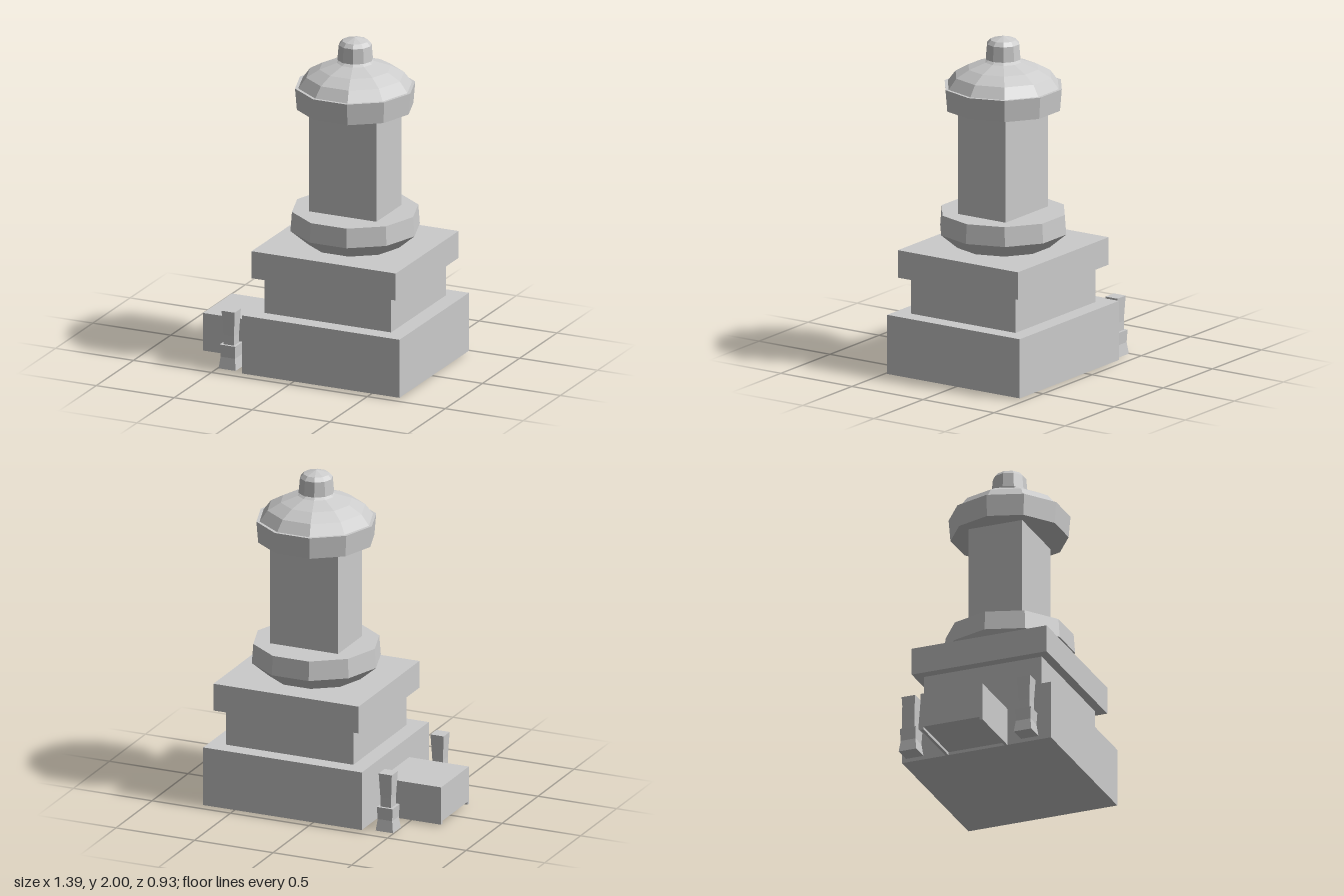
import * as THREE from 'three';

const material = new THREE.MeshStandardMaterial({ color: 0xcccccc, flatShading: true });
const AXIS_X = 0.183; // vertical axis of the tower

export function createModel() {
  const model = new THREE.Group();

  const add = (name, geometry) => {
    const mesh = new THREE.Mesh(geometry, material);
    mesh.name = name;
    model.add(mesh);
    return mesh;
  };

  // Block given by its x, y and z limits
  const block = (name, x0, x1, y0, y1, z0, z1) => {
    const mesh = add(name, new THREE.BoxGeometry(x1 - x0, y1 - y0, z1 - z0));
    mesh.position.set((x0 + x1) / 2, (y0 + y1) / 2, (z0 + z1) / 2);
  };

  // Faceted turned part, profile [radius, y] from bottom to top
  const turned = (name, profile, sides, phase) =>
    add(name, new THREE.LatheGeometry(profile.map(([r, y]) => new THREE.Vector2(r, y)), sides, phase));

  // Stepped pedestal and shaft
  block('base', -0.32, 0.69, 0.01, 0.365, -0.466, 0.466);
  block('pedestal', -0.222, 0.59, 0.365, 0.585, -0.368, 0.368);
  block('pedestalSlab', -0.28, 0.645, 0.585, 0.75, -0.422, 0.422);
  block('shaft', -0.032, 0.4, 0.95, 1.575, -0.167, 0.167);

  // Ten-sided collar, domed cap and knob
  const rings = {
    collar: [[0, 0.75], [0.28, 0.75], [0.381, 0.835], [0.372, 0.952], [0, 0.952]],
    cap: [[0, 1.575], [0.343, 1.575], [0.354, 1.705], [0.335, 1.705], [0.288, 1.768],
      [0.21, 1.812], [0.108, 1.847], [0.085, 1.862], [0, 1.862]],
    knob: [[0, 1.865], [0.105, 1.865], [0.097, 1.955], [0.076, 1.978], [0, 2]],
  };
  for (const [name, profile] of Object.entries(rings)) {
    turned(name, profile, 10, Math.PI / 2).position.x = AXIS_X;
  }

  // Side block with a shallow channel along its underside
  const section = new THREE.Shape(
    [[-0.193, 0.01], [-0.175, 0.01], [-0.175, 0.028], [0.175, 0.028],
      [0.175, 0.01], [0.193, 0.01], [0.193, 0.24], [-0.193, 0.24]]
      .map(([z, y]) => new THREE.Vector2(z, y)));
  const sideBlock = add('sideBlock', new THREE.ExtrudeGeometry(section, { depth: 0.38, bevelEnabled: false }));
  sideBlock.rotation.y = Math.PI / 2;
  sideBlock.position.x = -0.7;

  // Pair of square bollards, profile as [half width, y]
  const bollard = [[0, 0], [0.055, 0], [0.046, 0.07], [0.05, 0.145], [0.034, 0.145],
    [0.034, 0.2], [0.042, 0.35], [0, 0.35]].map(([h, y]) => [h * Math.SQRT2, y]);
  for (const side of [-1, 1]) {
    turned(side > 0 ? 'frontBollard' : 'backBollard', bollard, 4, Math.PI / 4)
      .position.set(-0.44, 0, side * 0.36);
  }

  return model;
}
